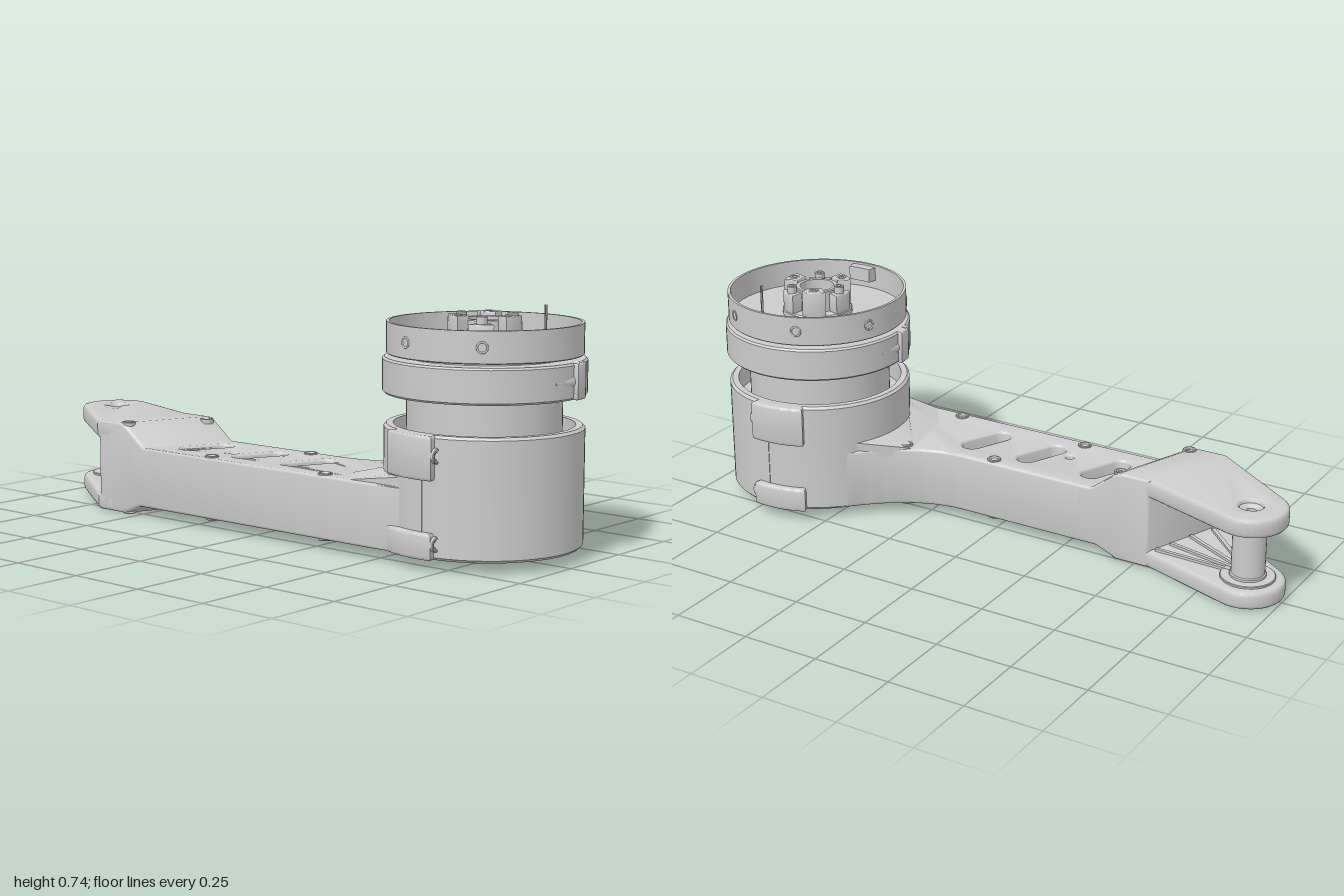
import * as THREE from 'three';
import { toCreasedNormals } from 'three/addons/utils/BufferGeometryUtils.js';

const CZ = 0.685; // z of the motor axis
const grey = new THREE.MeshStandardMaterial({ color: 0xcccccc });
const rad = THREE.MathUtils.degToRad;

export function createModel() {
  const model = new THREE.Group();

  function add(name, geo, x = 0, y = 0, z = 0, parent = model) {
    const mesh = new THREE.Mesh(geo, grey);
    mesh.name = name;
    mesh.position.set(x, y, z);
    parent.add(mesh);
    return mesh;
  }
  // closed profile: up the outside, down the inside
  const lathe = (pts, seg = 64) => toCreasedNormals(
    new THREE.LatheGeometry(pts.map(([r, y]) => new THREE.Vector2(r, y)), seg), 0.5);
  const ring = (r0, r1, y0, y1, c = 0.006, seg = 64) => lathe([
    [r0, y0], [r1 - c, y0], [r1, y0 + c], [r1, y1 - c], [r1 - c, y1], [r0, y1], [r0, y0]], seg);
  // plan shape (x, -z) raised from y0 to y1 with softened edges
  function slab(shape, y0, y1, b = 0) {
    const g = new THREE.ExtrudeGeometry(shape, {
      depth: y1 - y0 - 2 * b, bevelEnabled: b > 0, bevelThickness: b,
      bevelSize: b, bevelOffset: -b, bevelSegments: 3, curveSegments: 24 });
    g.rotateX(-Math.PI / 2).translate(0, y0 + b, 0);
    return toCreasedNormals(g, 0.6);
  }
  // ring sector around the origin, angles in degrees from +x towards the back
  function sector(r0, r1, a0, a1) {
    const s = new THREE.Shape();
    s.absarc(0, 0, r1, rad(a0), rad(a1), false);
    s.absarc(0, 0, r0, rad(a1), rad(a0), true);
    s.closePath();
    return s;
  }
  // socket screw head, open side up
  function screw(name, x, y, z, r = 0.022) {
    const g = lathe([[r, -0.012], [r, 0.003], [r * 0.9, 0.005], [r * 0.7, 0.005], [r * 0.6, 0],
      [r * 0.42, 0], [r * 0.42, -0.008], [0, -0.008]], 20);
    return add(name, g, x, y, z);
  }

  // motor housing: open sleeve with inner flange
  add('housing', ring(0.268, 0.296, 0.03, 0.39, 0.008), 0, 0, CZ);
  add('housingFlange', ring(0.22, 0.275, 0.25, 0.32, 0.002), 0, 0, CZ);

  // clamp lugs with forward facing screws
  for (const side of [1, -1]) {
    for (const [y0, y1, ys] of [[0.26, 0.39, 0.332], [0.03, 0.108, 0.077]]) {
      const a = side > 0 ? [-8.5, 25] : [155, 188.5];
      add('clampLug', slab(sector(0.272, 0.317, ...a), y0, y1, 0.008), 0, 0, CZ);
      screw('lugScrew', side * 0.291, ys, 0.736, 0.023).rotation.x = Math.PI / 2;
    }
    // seam between the housing halves
    add('housingSeam', new THREE.BoxGeometry(0.004, 0.35, 0.006), side * 0.296, 0.21, CZ);
  }

  // motor body and its underside
  add('motorBody', lathe([[0, 0.17], [0.07, 0.17], [0.075, 0.13], [0.15, 0.13], [0.175, 0.15],
    [0.2, 0.21], [0.23, 0.23], [0.23, 0.49], [0.24, 0.5], [0.24, 0.6], [0, 0.6]]), 0, 0, CZ);
  for (let i = 0; i < 8; i++) {
    const a = (i / 8) * Math.PI * 2;
    add('motorVent', ring(0.014, 0.024, 0.122, 0.14, 0.003, 20),
      0.115 * Math.cos(a), 0, CZ + 0.115 * Math.sin(a));
  }

  // clamp ring with two opposite lugs
  add('clampRing', ring(0.225, 0.301, 0.482, 0.588), 0, 0, CZ);
  for (const turn of [0, Math.PI]) {
    const clamp = new THREE.Group();
    clamp.name = 'ringClamp';
    clamp.position.z = CZ;
    clamp.rotation.y = turn;
    model.add(clamp);
    add('ringLug', slab(sector(0.28, 0.315, -86, -77), 0.482, 0.588, 0.005), 0, 0, 0, clamp);
    add('ringLugStep', slab(sector(0.28, 0.307, -77, -72), 0.482, 0.588, 0.005), 0, 0, 0, clamp);
    const bolt = add('ringBolt', new THREE.CylinderGeometry(0.022, 0.012, 0.08, 16), -0.02, 0.535, 0.284, clamp);
    bolt.rotation.z = -Math.PI / 2;
  }

  // open rotor cup
  add('rotorCup', lathe([[0, 0.597], [0.287, 0.597], [0.29, 0.6], [0.29, 0.692], [0.281, 0.692],
    [0.281, 0.61], [0, 0.61]]), 0, 0, CZ);
  for (const deg of [22, 70, 120, 165, 215, 330]) {
    const a = rad(deg);
    const h = add('cupHole', new THREE.TorusGeometry(0.015, 0.003, 8, 20),
      0.289 * Math.cos(a), 0.645, CZ - 0.289 * Math.sin(a));
    h.rotation.y = a + Math.PI / 2;
  }
  add('cupBlock', slab(sector(0.25, 0.283, 172, 190), 0.64, 0.685), 0, 0, CZ);

  // hub crown inside the cup
  add('hubBase', ring(0.05, 0.113, 0.605, 0.63, 0.004, 40), 0, 0, CZ);
  add('hubTube', ring(0.055, 0.07, 0.605, 0.7, 0.003, 40), 0, 0, CZ);
  for (let i = 0; i < 6; i++) {
    add('hubSegment', slab(sector(0.066, 0.11, i * 60 + 10, i * 60 + 50), 0.62, i % 2 ? 0.69 : 0.712, 0.003), 0, 0, CZ);
    const a = rad(i * 60 + 30);
    add('hubSocket', ring(0.008, 0.016, 0.62, 0.714, 0.002, 16),
      0.088 * Math.cos(a), 0, CZ - 0.088 * Math.sin(a));
  }
  for (const x of [0.167, 0.175]) {
    add('contactPin', new THREE.BoxGeometry(0.002, 0.13, 0.003), x, 0.667, 0.78);
  }

  // arm beam with slanted slots
  const beam = new THREE.Shape();
  beam.moveTo(-0.295, -CZ);
  beam.absarc(0, -CZ, 0.271, Math.PI, 0.8, true);
  beam.lineTo(0.206, -0.473);
  beam.bezierCurveTo(0.1, -0.38, 0.01, -0.27, 0.01, -0.12);
  beam.lineTo(0.01, 0.38);
  beam.lineTo(-0.29, 0.49);
  beam.lineTo(-0.29, -0.5);
  beam.closePath();
  const tilt = rad(-24), hw = 0.033, half = 0.057;
  for (const z of [-0.32, -0.085, 0.122]) {
    const c = new THREE.Vector2(half * Math.cos(tilt), half * Math.sin(tilt));
    const slot = new THREE.Path();
    slot.absarc(-0.138 + c.x, -z + c.y, hw, tilt - Math.PI / 2, tilt + Math.PI / 2, false);
    slot.absarc(-0.138 - c.x, -z - c.y, hw, tilt + Math.PI / 2, tilt + 1.5 * Math.PI, false);
    slot.closePath();
    beam.holes.push(slot);
  }
  const pilot = new THREE.Path();
  pilot.absarc(-0.163, 0.175, 0.014, 0, Math.PI * 2, false);
  beam.holes.push(pilot);
  add('armBeam', slab(beam, 0.03, 0.225, 0.009));

  // sloped fillet where the beam meets the housing
  const fillet = new THREE.Shape();
  fillet.absarc(0, 0, 0.4, rad(84), rad(135), false);
  fillet.absarc(0, 0, 0.288, rad(165), rad(54), true);
  fillet.closePath();
  const filletGeo = slab(fillet, 0.2, 0.25);
  const p = filletGeo.attributes.position;
  for (let i = 0; i < p.count; i++) {
    const r = Math.hypot(p.getX(i), p.getZ(i));
    if (p.getY(i) > 0.22) p.setY(i, r > 0.35 ? 0.224 : 0.256);
  }
  filletGeo.computeVertexNormals();
  add('armFillet', toCreasedNormals(filletGeo, 0.5), 0, 0, CZ);

  // thicker knuckle: side profile swept across and sheared
  const side = new THREE.Shape([[0.3, 0.04], [0.37, 0.03], [0.44, 0], [0.555, 0], [0.555, 0.296],
    [0.45, 0.296], [0.425, 0.285], [0.35, 0.226], [0.3, 0.215]].map(([s, y]) => new THREE.Vector2(s, y)));
  const b = 0.009;
  const knuckle = new THREE.ExtrudeGeometry(side, {
    depth: 0.3 - 2 * b, bevelThickness: b, bevelSize: b, bevelOffset: -b, bevelSegments: 3 });
  knuckle.rotateY(Math.PI / 2).translate(-0.29 + b, 0, 0);
  knuckle.applyMatrix4(new THREE.Matrix4().set(1, 0, 0, 0, 0, 1, 0, 0, 0.38, 0, 1, 0, 0, 0, 0, 1));
  knuckle.computeVertexNormals();
  add('armKnuckle', toCreasedNormals(knuckle, 0.6));

  // fork plates with a bored round end
  const plate = new THREE.Shape();
  plate.moveTo(-0.29, 0.6);
  plate.lineTo(0.01, 0.49);
  plate.lineTo(0.01, 0.55);
  plate.absarc(0, 0.885, 0.115, -0.32, 2.53, false);
  plate.lineTo(-0.29, 0.67);
  plate.closePath();
  const bore = new THREE.Path();
  bore.absarc(0, 0.885, 0.036, 0, Math.PI * 2, false);
  plate.holes.push(bore);
  add('forkTopPlate', slab(plate, 0.236, 0.296, 0.012));
  add('forkBottomPlate', slab(plate, 0, 0.056, 0.012));

  // pin with hollow bush, and its seats
  add('forkPin', lathe([[0.016, 0.012], [0.045, 0.012], [0.045, 0.05], [0.056, 0.056], [0.056, 0.07], [0.052, 0.073],
    [0.052, 0.22], [0.056, 0.223], [0.056, 0.236], [0.045, 0.242], [0.045, 0.284], [0.03, 0.284],
    [0.016, 0.275], [0.016, 0.012]], 32), 0, 0, -0.885);
  for (const y of [0.053, 0.229]) {
    add('pinSeat', ring(0.05, 0.085, y, y + 0.01, 0.002, 32), 0, 0, -0.885);
  }

  // stiffening ribs inside the fork
  for (const [x, z] of [[-0.23, -0.66], [-0.15, -0.62], [-0.07, -0.59], [-0.01, -0.57]]) {
    const dx = -x * 0.72, dz = -0.83 - z;
    for (const y of [0.058, 0.234]) {
      const rib = add('forkRib', new THREE.BoxGeometry(0.012, 0.012, Math.hypot(dx, dz)), x + dx / 2, y, z + dz / 2);
      rib.rotation.y = Math.atan2(dx, dz);
    }
  }

  // cover screws, top and bottom
  for (const [x, z, top, bottom] of [[-0.264, -0.55, 0.294, 0.002], [-0.264, -0.175, 0.225, 0.03],
    [-0.264, 0.295, 0.225, 0.03], [-0.017, -0.437, 0.288, 0.004], [-0.017, 0.02, 0.225, 0.03],
    [0.037, 0.322, 0.23, 0.03]]) {
    screw('coverScrew', x, top, z);
    screw('coverScrewUnderside', x, bottom, z).rotation.x = Math.PI;
  }

  return model;
}
